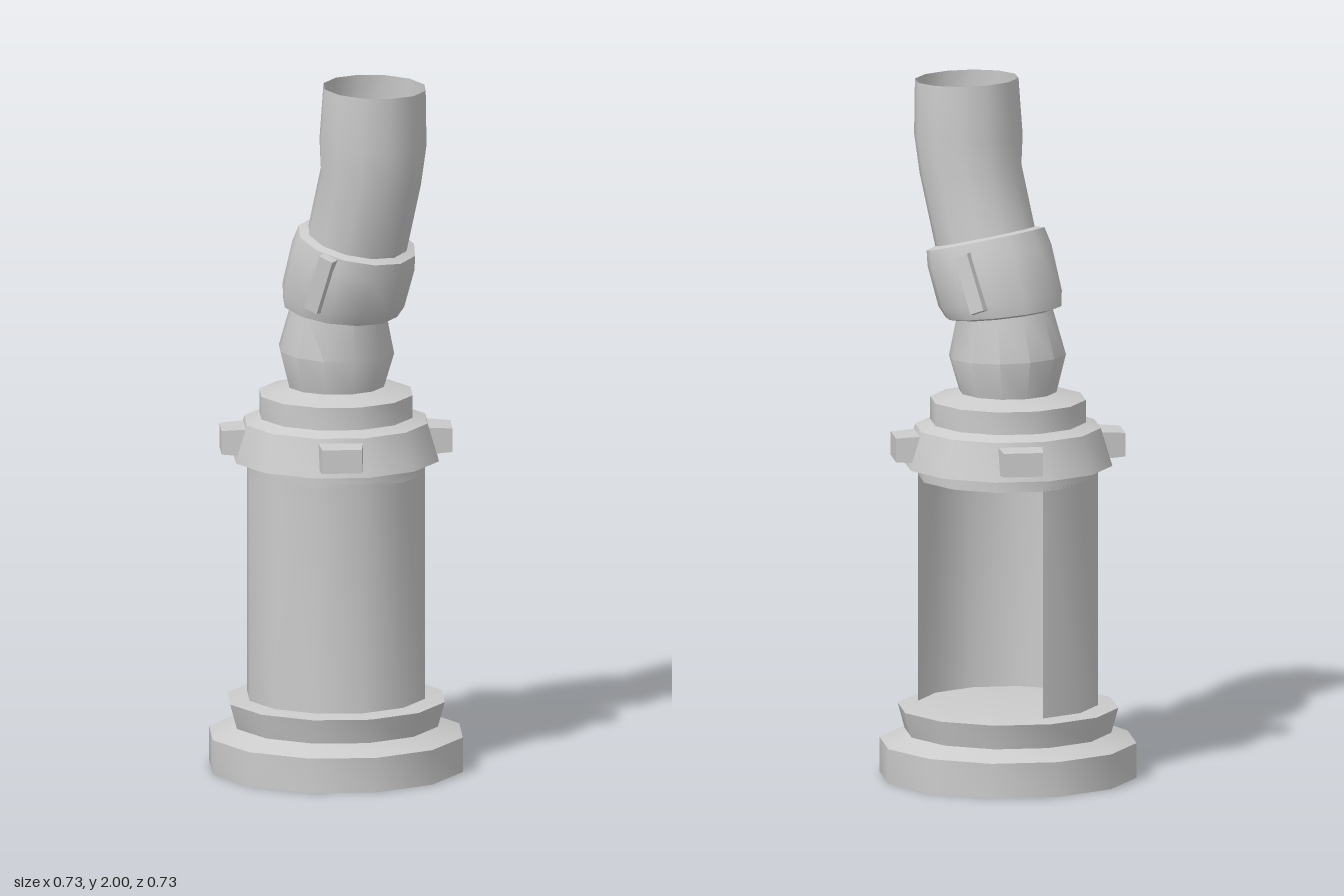
import * as THREE from 'three';
import { toCreasedNormals } from 'three/addons/utils/BufferGeometryUtils.js';

const SIDES = 12;
const CREASE = THREE.MathUtils.degToRad(40);
const material = new THREE.MeshStandardMaterial({ color: 0xcccccc, side: THREE.DoubleSide });

function part(name, geometry) {
  const mesh = new THREE.Mesh(toCreasedNormals(geometry, CREASE), material);
  mesh.name = name;
  return mesh;
}

// Turned part from [radius, y] points, bottom to top
function turned(name, profile, start = 0, length = Math.PI * 2, sides = SIDES) {
  const points = profile.map(([r, y]) => new THREE.Vector2(r, y));
  return part(name, new THREE.LatheGeometry(points, sides, start, length));
}

// Skin over rings given as [x, y, tilt in degrees, radius]
function bentTube(name, rings) {
  const positions = [], index = [], row = SIDES + 1;
  rings.forEach(([x, y, tilt, r], j) => {
    const a = THREE.MathUtils.degToRad(tilt);
    for (let i = 0; i <= SIDES; i++) {
      const t = (i % SIDES) / SIDES * Math.PI * 2;
      const u = r * Math.sin(t);
      positions.push(x + u * Math.cos(a), y - u * Math.sin(a), r * Math.cos(t));
      if (j > 0 && i < SIDES) {
        const p = (j - 1) * row + i, q = p + row;
        index.push(p, p + 1, q, p + 1, q + 1, q);
      }
    }
  });
  const geometry = new THREE.BufferGeometry();
  geometry.setAttribute('position', new THREE.Float32BufferAttribute(positions, 3));
  geometry.setIndex(index);
  return part(name, geometry);
}

// Box whose outer (+z) face is narrowed
function taperedBox(name, w, h, d, sx, sy) {
  const geometry = new THREE.BoxGeometry(w, h, d);
  const p = geometry.attributes.position;
  for (let i = 0; i < p.count; i++) {
    if (p.getZ(i) > 0) p.setXY(i, p.getX(i) * sx, p.getY(i) * sy);
  }
  return part(name, geometry);
}

export function createModel() {
  const model = new THREE.Group();
  model.name = 'lampTower';

  // Hollow foot with a flared rim and a floor
  model.add(turned('base', [
    [0.367, 0], [0.367, 0.1], [0.295, 0.128], [0.315, 0.2], [0.255, 0.207], [0, 0.207],
  ]));

  // Body wall, open for a third of the way round at the back
  const arc = Math.PI * 2 / 3;
  model.add(turned('body', [[0.257, 0.2], [0.257, 0.87]], -arc, arc * 2, 8));

  // Collar with ceiling, lower lip and stepped shoulder
  model.add(turned('collar', [
    [0, 0.86], [0.257, 0.86], [0.257, 0.897], [0.298, 0.897], [0.265, 1.005],
    [0.222, 1.02], [0.222, 1.085], [0.135, 1.107],
  ]));

  // Four lugs around the collar
  for (let i = 0; i < 4; i++) {
    const angle = Math.PI / 4 + i * Math.PI / 2;
    const lug = taperedBox('lug', 0.13, 0.08, 0.085, 0.86, 0.85);
    lug.position.set(Math.sin(angle) * 0.285, 0.953, Math.cos(angle) * 0.285);
    lug.rotation.y = angle;
    model.add(lug);
  }

  // Open bent pipe
  model.add(bentTube('pipe', [
    [0, 1.1, 0, 0.137], [0.002, 1.21, 2, 0.167], [0.012, 1.33, 8, 0.138],
    [0.08, 1.535, 14, 0.145], [0.133, 1.73, 8, 0.146],
    [0.141, 1.83, 1, 0.155], [0.147, 1.99, 2, 0.148],
  ]));

  // Clamp band round the bend
  model.add(bentTube('band', [
    [0.013, 1.325, 8, 0.137], [0.016, 1.332, 8, 0.166], [0.028, 1.37, 10, 0.178],
    [0.066, 1.49, 13, 0.18], [0.08, 1.535, 14.5, 0.172], [0.083, 1.542, 14.5, 0.144],
  ]));

  // Slanted latch bars, front and back of the band
  for (const [x, side] of [[0.095, 1], [0.003, -1]]) {
    const latch = new THREE.Group();
    latch.name = side > 0 ? 'frontLatch' : 'backLatch';
    const bar = taperedBox('latchBar', 0.05, 0.175, 0.04, 0.85, 0.96);
    bar.rotation.y = side > 0 ? 0.25 : Math.PI + 0.25;
    latch.add(bar);
    latch.position.set(x, 1.44, side * 0.167);
    latch.rotation.z = -0.36;
    model.add(latch);
  }

  return model;
}
